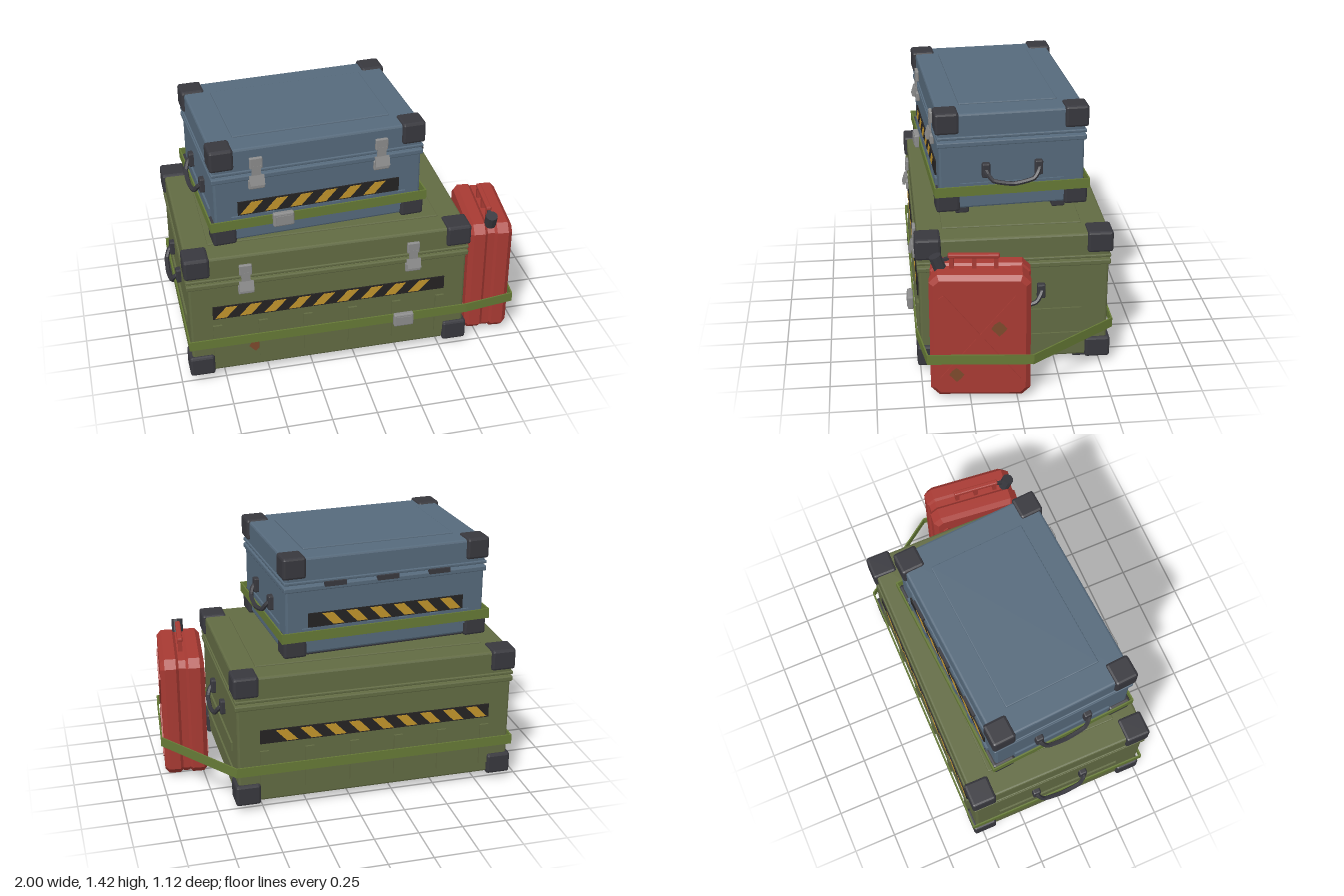
import * as THREE from 'three';
import { RoundedBoxGeometry } from 'three/addons/geometries/RoundedBoxGeometry.js';

const mat = (color) => new THREE.MeshStandardMaterial({ color, flatShading: true });
const green = mat(0x626b43), blue = mat(0x566a7c), red = mat(0xa83a33), dark = mat(0x38383e);
const black = mat(0x252323), yellow = mat(0xc2952c), metal = mat(0x8c8c8c);
const webbing = mat(0x667a36), rust = mat(0x7d4a2c);

function add(parent, name, geometry, material, x = 0, y = 0, z = 0) {
  const mesh = new THREE.Mesh(geometry, material);
  mesh.name = name;
  mesh.position.set(x, y, z);
  parent.add(mesh);
  return mesh;
}
const box = (w, h, d) => new THREE.BoxGeometry(w, h, d);
const chamfered = (w, h, d, r = 0.012) => new RoundedBoxGeometry(w, h, d, 1, r);

// Flat webbing band that follows a closed outline of [x, z] points
function strap(parent, points, y) {
  const band = new THREE.Group();
  band.name = 'strap';
  points.forEach(([x, z], i) => {
    const [u, v] = points[(i + 1) % points.length];
    const length = Math.hypot(u - x, v - z);
    const side = add(band, 'strapSide', box(length + 0.006, 0.056, 0.008), webbing, (x + u) / 2, y, (z + v) / 2);
    side.rotation.y = -Math.atan2(v - z, u - x);
  });
  parent.add(band);
}

function buckle(parent, x, y, z) {
  add(parent, 'buckle', chamfered(0.115, 0.08, 0.032, 0.008), metal, x, y, z);
  add(parent, 'buckleBar', box(0.09, 0.05, 0.008), metal, x, y, z + 0.016);
}

// Irregular rust patch
function rustPatch(parent, radius, x, y, z, turn) {
  const outline = [1, 0.8, 1.05, 0.85, 1, 0.75, 1.1, 0.8].map((k, i) =>
    new THREE.Vector2(Math.cos(i * Math.PI / 4) * k * radius, Math.sin(i * Math.PI / 4) * k * radius));
  add(parent, 'rustPatch', new THREE.ShapeGeometry(new THREE.Shape(outline)), rust, x, y, z).rotation.y = turn;
}

// Dark warning strip with slanted yellow bars
function hazardStrip(parent, width, bars, y, z) {
  add(parent, 'hazardStrip', box(width, 0.08, 0.01), black, 0, y, z);
  const h = 0.034;
  const slant = new THREE.Shape([[-0.063, -h], [0, -h], [0.063, h], [0, h]].map((p) => new THREE.Vector2(...p)));
  const geometry = new THREE.ExtrudeGeometry(slant, { depth: 0.014, bevelEnabled: false }).translate(0, 0, -0.007);
  for (let i = 0; i < bars; i++) add(parent, 'hazardBar', geometry, yellow, -width / 2 + 0.075 + i * 0.137, y, z);
}

// Drop handle on one end of a crate
function handle(parent, side, x, y) {
  const path = [[0.01, 0, -0.145], [0.03, -0.005, -0.145], [0.052, -0.05, -0.11], [0.058, -0.07, 0],
    [0.052, -0.05, 0.11], [0.03, -0.005, 0.145], [0.01, 0, 0.145]];
  const curve = new THREE.CatmullRomCurve3(path.map(([o, h, z]) => new THREE.Vector3(side * o, h, z)), false, 'catmullrom', 0.3);
  add(parent, 'handle', new THREE.TubeGeometry(curve, 24, 0.013, 6), dark, side * x, y, 0);
  for (const z of [-0.145, 0.145])
    add(parent, 'handleMount', chamfered(0.036, 0.085, 0.045, 0.008), dark, side * (x + 0.01), y, z);
}

// Two-part toggle latch
function latch(parent, x, y, z) {
  add(parent, 'latchCatch', chamfered(0.07, 0.065, 0.02, 0.005), metal, x, y + 0.035, z + 0.012);
  add(parent, 'latchLink', box(0.05, 0.08, 0.01), metal, x, y - 0.02, z + 0.018);
  add(parent, 'latchPlate', chamfered(0.088, 0.055, 0.022, 0.006), metal, x, y - 0.09, z + 0.012);
  add(parent, 'latchLever', box(0.08, 0.055, 0.014), metal, x, y - 0.06, z + 0.03).rotation.x = -0.3;
}

function crate(name, o) {
  const g = new THREE.Group();
  g.name = name;
  const { w, d, split, top, skin, corner } = o;
  add(g, 'body', chamfered(w, split - 0.05, d), skin, 0, (split + 0.05) / 2, 0);
  add(g, 'bodyLip', chamfered(w + 0.02, 0.03, d + 0.02, 0.006), skin, 0, split - 0.016, 0);
  add(g, 'lid', chamfered(w + 0.005, top - split - 0.012, d + 0.005), skin, 0, (top + split + 0.012) / 2, 0);
  add(g, 'lidLip', chamfered(w + 0.02, 0.018, d + 0.02, 0.005), skin, 0, split + 0.021, 0);
  add(g, 'lidPanel', chamfered(o.panel[0], 0.02, o.panel[1], 0.005), skin, 0, top - 0.002, 0);
  for (const s of [-1, 1]) {
    add(g, 'skid', chamfered(o.skid, 0.07, 0.075, 0.008), dark, 0, 0.035, s * o.skidZ);
    hazardStrip(g, o.hazard, o.bars, split - 0.198, s * (d / 2 + 0.003));
    handle(g, s, w / 2, split - 0.17);
    latch(g, s * o.latchX, split + 0.035, d / 2);
    // Stiffening ribs on long faces and ends
    for (let i = 0; i < 6; i++)
      add(g, 'rib', box(0.05, o.ribTop - 0.115, 0.024), skin, (i - 2.5) * o.ribGap, (o.ribTop + 0.115) / 2, s * d / 2);
    for (const y of o.endRibs)
      add(g, 'endRib', box(0.02, 0.05, d * 0.72), skin, s * w / 2, y, 0);
    for (const t of [-1, 1]) {
      const cx = s * (w / 2 + 0.018 - corner / 2), cz = t * (d / 2 + 0.02 - corner / 2);
      add(g, 'cornerGuard', chamfered(corner, 0.122, corner, 0.014), dark, cx, top - 0.05, cz);
      add(g, 'cornerGuard', chamfered(corner, 0.122, corner, 0.014), dark, cx, 0.1, cz);
    }
  }
  return g;
}

// Fuel can made of two pressed halves around a seam
function fuelCan() {
  const g = new THREE.Group();
  g.name = 'fuelCan';
  const profile = (a, h, c) => new THREE.Shape([[-a, c - h], [c - a, -h], [a - c, -h], [a, c - h],
    [a, h - c], [a - c, h], [c - a, h], [-a, h - c]].map((p) => new THREE.Vector2(...p)));
  const half = new THREE.ExtrudeGeometry(profile(0.24, 0.335, 0.03), {
    depth: 0.064, bevelThickness: 0.025, bevelSize: 0.025, bevelSegments: 1,
  }).translate(0, 0, -0.032).rotateY(Math.PI / 2);
  const core = new THREE.ExtrudeGeometry(profile(0.255, 0.35, 0.035), { depth: 0.04, bevelEnabled: false })
    .translate(0, 0, -0.02).rotateY(Math.PI / 2);
  add(g, 'seam', core, red, 0, 0.375, 0);
  for (const s of [-1, 1]) {
    add(g, 'canHalf', half, red, s * 0.067, 0.375, 0);
    for (const t of [-1, 1])
      add(g, 'crossBrace', box(0.014, 0.64, 0.035), red, s * 0.124, 0.37, 0).rotation.x = t * 0.675;
  }
  // Carrying handle
  add(g, 'canHandle', chamfered(0.03, 0.025, 0.27, 0.007), red, 0, 0.796, 0.0325);
  for (const z of [0.148, 0.03, -0.085]) add(g, 'canHandlePost', box(0.024, 0.07, 0.024), red, 0, 0.76, z);
  // Spout and cap
  const cap = add(g, 'spoutCap', new THREE.CylinderGeometry(0.034, 0.034, 0.075, 10), dark, 0, 0.758, 0.222);
  cap.rotation.x = 0.35;
  add(g, 'capLever', box(0.02, 0.015, 0.09), dark, 0, 0.775, 0.18).rotation.x = 0.35;
  rustPatch(g, 0.042, 0.1325, 0.435, -0.1, Math.PI / 2);
  rustPatch(g, 0.04, 0.1325, 0.155, 0.125, Math.PI / 2);
  return g;
}

const rectangle = (a, b) => [[-a, -b], [a, -b], [a, b], [-a, b]];

export function createModel() {
  const model = new THREE.Group();
  model.name = 'stackedCargo';

  const lower = crate('lowerCrate', {
    w: 1.57, d: 1.03, split: 0.643, top: 0.8, skin: green, corner: 0.14, panel: [1.3, 0.76], skid: 1.44, skidZ: 0.375,
    hazard: 1.32, bars: 9, latchX: 0.47, ribTop: 0.36, ribGap: 0.255, endRibs: [0.33, 0.175],
  });
  lower.position.set(-0.147, 0, -0.018);
  rustPatch(lower, 0.036, -0.43, 0.185, 0.5165, 0);
  model.add(lower);

  const upper = crate('upperCrate', {
    w: 1.15, d: 0.8, split: 0.443, top: 0.6, skin: blue, corner: 0.13, panel: [0.87, 0.54], skid: 1.06, skidZ: 0.27,
    hazard: 0.9, bars: 6, latchX: 0.345, ribTop: 0.2, ribGap: 0.185, endRibs: [0.175],
  });
  upper.position.set(-0.21, 0.81, 0.003);
  upper.rotation.y = 0.065;
  for (const x of [-0.3, 0, 0.3]) add(upper, 'hinge', box(0.12, 0.026, 0.03), dark, x, 0.448, -0.41);
  strap(upper, rectangle(0.602, 0.425), 0.163);
  buckle(upper, -0.21, 0.163, 0.437);
  model.add(upper);

  const can = fuelCan();
  can.position.set(0.828, 0, 0.185);
  can.rotation.y = -0.1;
  model.add(can);

  // Long strap holding the can against the lower crate
  strap(model, [[-0.945, -0.557], [0.65, -0.557], [0.992, -0.08], [0.94, 0.475], [0.65, 0.519], [-0.945, 0.519]], 0.253);
  buckle(model, 0.27, 0.253, 0.538);
  return model;
}
